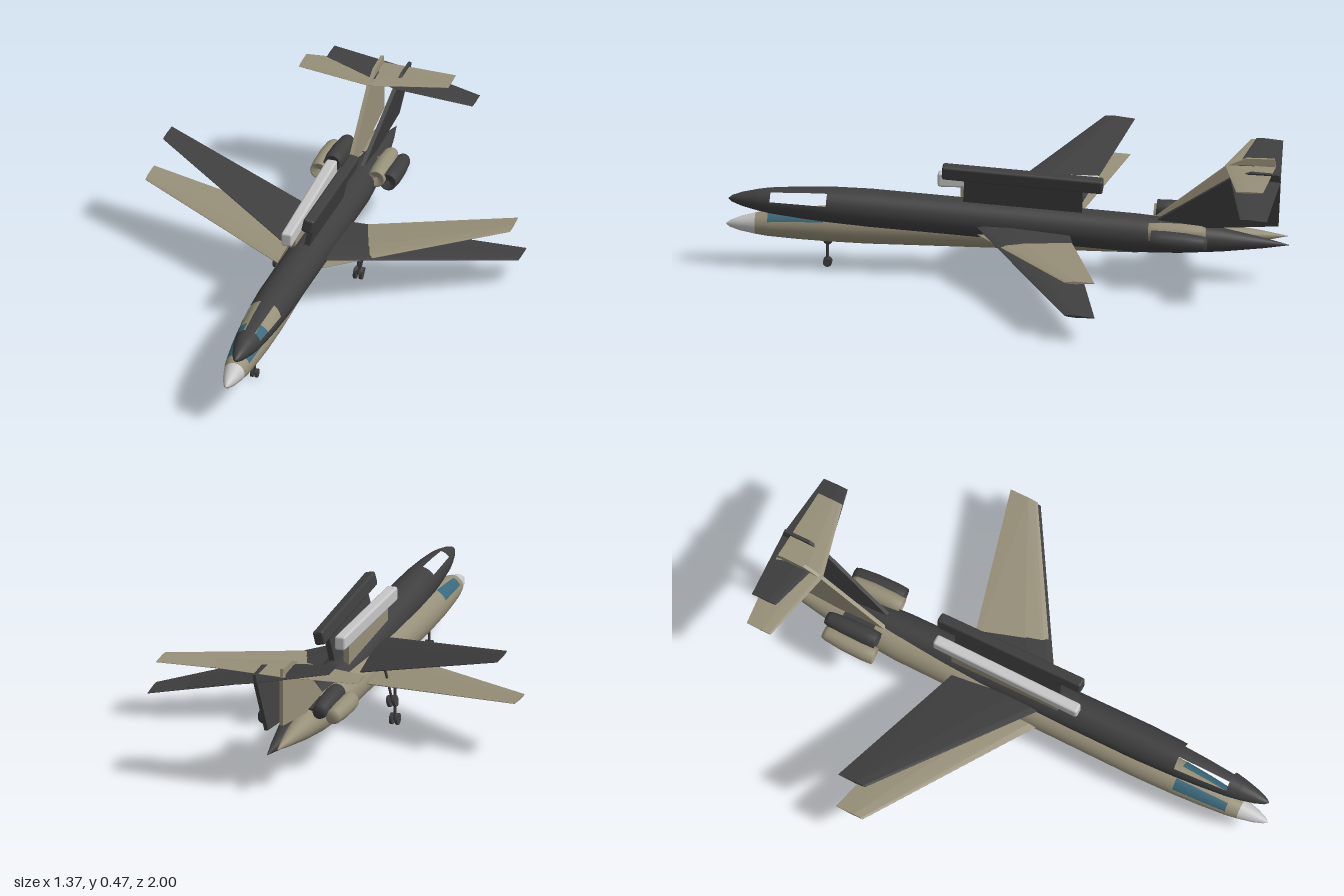
import * as THREE from 'three';
import { RoundedBoxGeometry } from 'three/addons/geometries/RoundedBoxGeometry.js';
import { ConvexGeometry } from 'three/addons/geometries/ConvexGeometry.js';

const material = (name, color) => {
  const m = new THREE.MeshStandardMaterial({ color });
  m.name = name;
  return m;
};

// Fuselage profile from tail to nose: [z, radius]
const PROFILE = [[-0.99, 0], [-0.9, 0.018], [-0.75, 0.042], [-0.6, 0.059], [-0.45, 0.068],
  [0.5, 0.068], [0.65, 0.063], [0.75, 0.056], [0.85, 0.046], [0.895, 0.038],
  [0.95, 0.025], [0.985, 0.012], [1, 0]];

// A part of the round hull between two stations and two angles
function hullPart(from, to, start = 0, length = Math.PI * 2) {
  const pts = PROFILE.filter(([z]) => z >= from && z <= to).map(([z, r]) => new THREE.Vector2(r, z));
  const segments = Math.max(4, Math.round(length * 32 / (Math.PI * 2)));
  const geo = new THREE.LatheGeometry(pts, segments, start, length).rotateX(Math.PI / 2);
  const p = geo.attributes.position;
  for (let i = 0; i < p.count; i++) {
    const z = p.getZ(i); // drooped nose, raised tail
    const nose = Math.max(0, (z - 0.5) / 0.5), tail = Math.max(0, (-0.45 - z) / 0.55);
    p.setY(i, p.getY(i) - 0.014 * nose * nose + 0.008 * tail);
  }
  return geo;
}

// Tapered panel: sections are [x, y, leadingZ, trailingZ, halfThickness]
const SECTION = [[0, 0.1], [0.08, 0.6], [0.35, 1], [1, 0.15]];
function panel(sections, side) {
  const pts = [];
  for (const [x, y, lead, trail, t] of sections)
    for (const [u, h] of SECTION)
      for (const s of [-1, 1])
        pts.push(new THREE.Vector3(side * x, y + s * h * t, lead + (trail - lead) * u));
  return new ConvexGeometry(pts);
}

// Flat plate from a [z, y] outline, standing in the centre plane
function plate(outline, thickness) {
  const shape = new THREE.Shape(outline.map(([z, y]) => new THREE.Vector2(-z, y)));
  const geo = new THREE.ExtrudeGeometry(shape, { depth: thickness, bevelEnabled: false });
  return geo.translate(0, 0, -thickness / 2).rotateY(Math.PI / 2);
}

function aircraft(name, mats) {
  const g = new THREE.Group();
  g.name = name;
  const add = (partName, geo, mat, x = 0, y = 0, z = 0) => {
    const m = new THREE.Mesh(geo, mat);
    m.name = partName;
    m.position.set(x, y, z);
    g.add(m);
    return m;
  };

  // Fuselage, open at the two cockpit windows
  const a0 = 0.4, a1 = 1.18, PI = Math.PI;
  add('rearFuselage', hullPart(-1, 0.65), mats.body);
  add('cockpitRoof', hullPart(0.65, 0.85, PI - a0, 2 * a0), mats.body);
  add('cockpitBelly', hullPart(0.65, 0.85, PI + a1, 2 * PI - 2 * a1), mats.body);
  add('noseCollar', hullPart(0.85, 0.895), mats.body);
  add('noseCone', hullPart(0.895, 1), mats.nose);
  if (mats.glass) {
    add('leftWindow', hullPart(0.65, 0.85, PI - a1, a1 - a0), mats.glass);
    add('rightWindow', hullPart(0.65, 0.85, PI + a0, a1 - a0), mats.glass);
  }

  // Fin with a low tip fairing
  add('fin', plate([[-0.5, 0.05], [-0.77, 0.265], [-0.945, 0.265], [-0.945, 0.085], [-0.62, 0.04]], 0.014), mats.body);
  add('finTip', plate([[-0.77, 0.263], [-0.84, 0.294], [-0.94, 0.294], [-0.945, 0.263]], 0.012), mats.body);

  // Dorsal pod on its pylon
  add('podPylon', new THREE.BoxGeometry(0.02, 0.11, 0.42), mats.body, 0, 0.105, -0.04);
  add('dorsalPod', new RoundedBoxGeometry(0.04, 0.052, 0.57, 2, 0.009), mats.pod, 0, 0.18, -0.035);

  for (const [side, label] of [[1, 'left'], [-1, 'right']]) {
    add(label + 'Wing', panel([[0, -0.002, 0.155, -0.2, 0.01], [0.668, 0.05, -0.26, -0.367, 0.005]], side), mats.body);
    add(label + 'Tailplane', panel([[0, 0.265, -0.765, -0.945, 0.004], [0.274, 0.265, -0.83, -0.925, 0.003]], side), mats.body);

    // Engine nacelle and its mount
    const nacelle = [[0, -0.1], [0.022, -0.1], [0.027, -0.085], [0.033, -0.02], [0.034, 0.06], [0.031, 0.1], [0.026, 0.1], [0, 0.085]];
    add(label + 'Engine', new THREE.LatheGeometry(nacelle.map(([r, z]) => new THREE.Vector2(r, z)), 20).rotateX(PI / 2),
      mats.body, side * 0.105, 0.044, -0.605);
    add(label + 'EngineMount', new THREE.BoxGeometry(0.06, 0.014, 0.12), mats.body, side * 0.06, 0.04, -0.6);
  }

  // Landing gear: strut, axle and twin wheels
  const gear = (label, x, z, top, r, gap) => {
    const y = -0.16 + r;
    add(label + 'Strut', new THREE.CylinderGeometry(0.005, 0.005, top - y, 8), mats.gear, x, (top + y) / 2, z);
    add(label + 'Axle', new THREE.CylinderGeometry(0.004, 0.004, gap, 8).rotateZ(PI / 2), mats.gear, x, y, z);
    for (const s of [-1, 1])
      add(label + 'Wheel', new THREE.CylinderGeometry(r, r, 0.01, 16).rotateZ(PI / 2), mats.gear, x + s * gap / 2, y, z);
  };
  gear('nose', 0, 0.64, -0.05, 0.016, 0.016);
  gear('leftMain', 0.147, -0.15, 0.01, 0.021, 0.021);
  gear('rightMain', -0.147, -0.15, 0.01, 0.021, 0.021);
  return g;
}

export function createModel() {
  const tan = material('tan', 0x968f78);
  const dark = material('charcoal', 0x3e3e3e);
  const light = material('lightGrey', 0xc6c6c6);
  const teal = material('tealGlass', 0x3a687a);

  const model = new THREE.Group();
  model.name = 'aircraftPair';

  // Level tan aircraft
  const level = aircraft('tanAircraft', { body: tan, nose: light, glass: teal, pod: light, gear: dark });
  level.position.set(-0.017, 0.16, 0);

  // Same aircraft in charcoal, banked and pitched up, without window panes
  const banked = aircraft('charcoalAircraft', { body: dark, nose: dark, glass: null, pod: dark, gear: dark });
  banked.position.set(0.017, 0.2025, -0.01);
  banked.rotation.set(-0.064, 0, -0.207);

  model.add(level, banked);
  return model;
}
